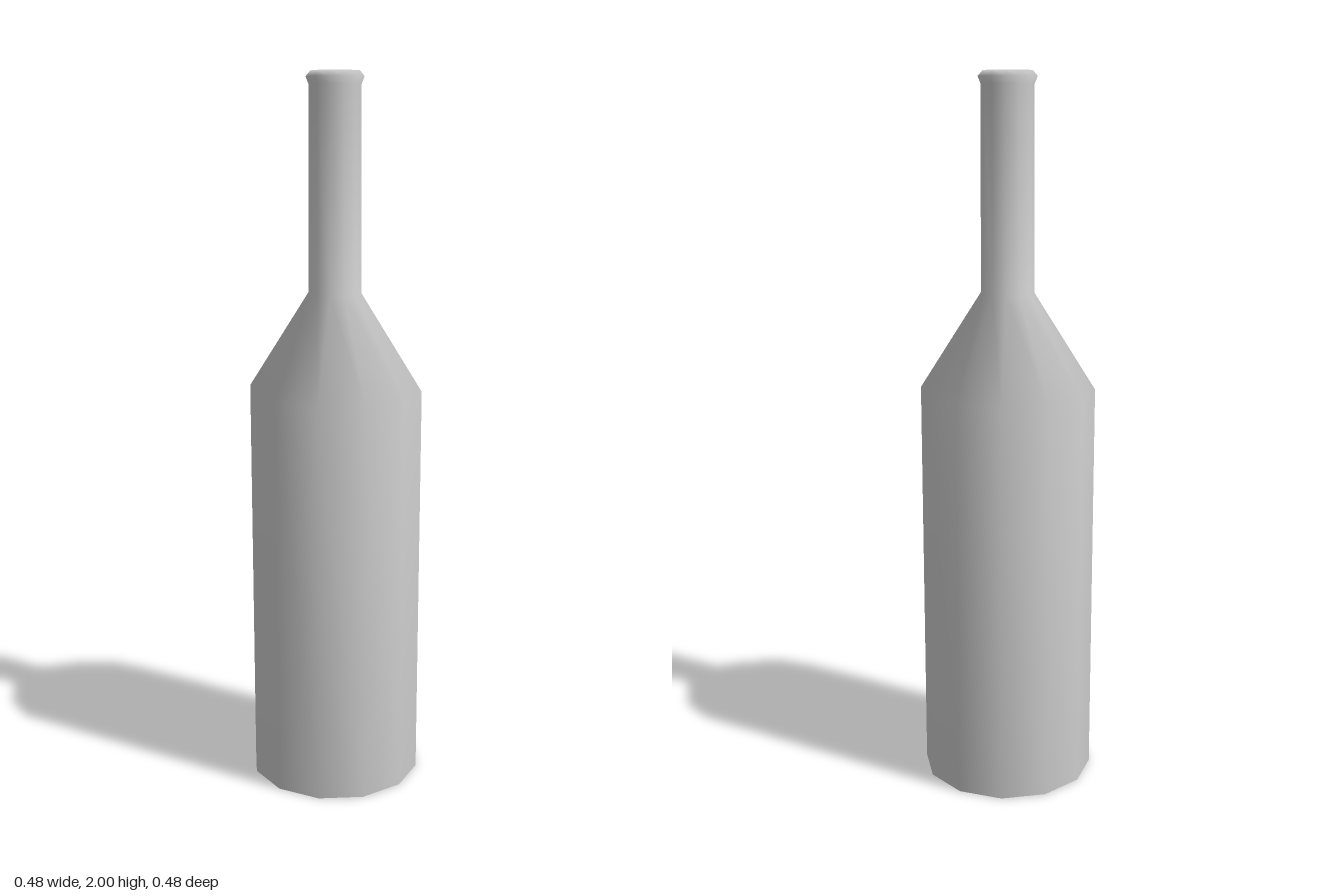
import * as THREE from 'three';

export function createModel() {
  const group = new THREE.Group();
  group.name = 'bottle';
  const material = new THREE.MeshStandardMaterial({ color: 0xcccccc, side: THREE.DoubleSide });

  // Radius and height from the open base up to the rolled lip
  const profile = [
    [0.245, 0],
    [0.245, 1.14], // shoulder starts
    [0.074, 1.41], // neck starts
    [0.072, 1.965], // neck ends
    [0.08, 1.985], // lip
    [0.067, 2],
    [0.058, 1.985],
  ].map(([r, y]) => new THREE.Vector2(r, y));

  // Twelve-sided, smoothly shaded thin shell, turned slightly about its axis
  const shell = new THREE.Mesh(new THREE.LatheGeometry(profile, 12, 0.318), material);
  shell.name = 'bottleShell';
  group.add(shell);
  return group;
}
